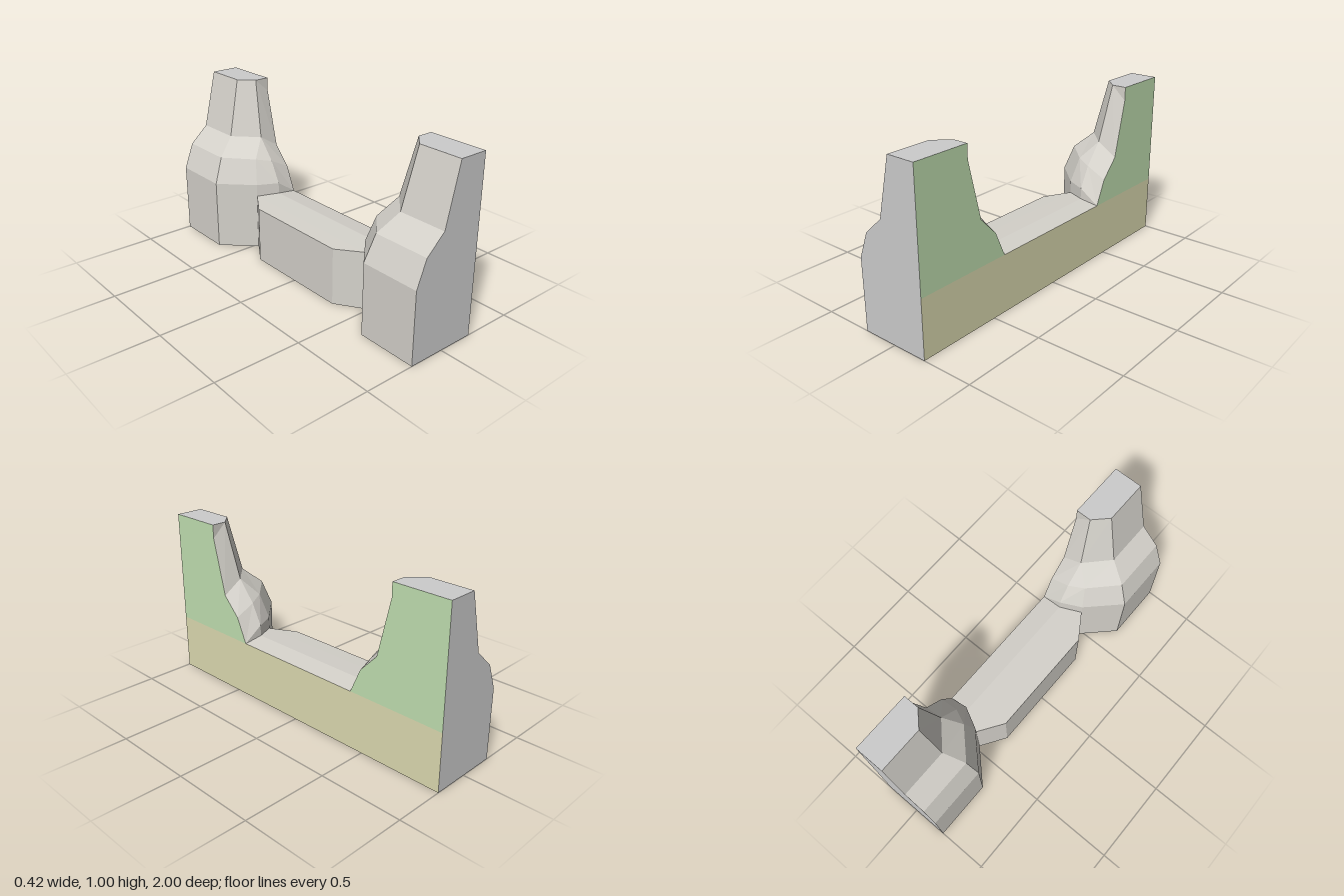
import * as THREE from 'three';

const GREY = 0xcccccc, ROCK = 0xd4d1ca, GREEN = 0xc0deb0, TAN = 0xdcdab0;
const W = 0.208; // half width
const FLOOR = 0.335; // pass height at the flat wall

// Flat-shaded mesh from triangles; side -1 mirrors it in z
function facets(name, tris, color, side = 1) {
  const data = [];
  for (const [a, b, c] of tris) {
    const corners = side < 0 ? [a, c, b] : [a, b, c];
    const v = corners.map(([x, y, z]) => new THREE.Vector3(x, y, z * side));
    if (new THREE.Triangle(...v).getArea() < 1e-7) continue;
    v.forEach((p) => data.push(p.x, p.y, p.z));
  }
  const geometry = new THREE.BufferGeometry();
  geometry.setAttribute('position', new THREE.Float32BufferAttribute(data, 3));
  geometry.computeVertexNormals();
  const mesh = new THREE.Mesh(geometry, new THREE.MeshStandardMaterial({ color, flatShading: true }));
  mesh.name = name;
  return mesh;
}

// Flat polygon as a fan from its first corner
const fan = (pts) => pts.slice(2).map((p, i) => [pts[0], pts[i + 1], p]);

// Skin between neighbouring cross-sections
function loft(rows) {
  const tris = [];
  for (let i = 0; i + 1 < rows.length; i++) {
    const r = rows[i], s = rows[i + 1];
    for (let j = 0; j + 1 < r.length; j++) {
      tris.push([r[j], r[j + 1], s[j]], [s[j], r[j + 1], s[j + 1]]);
    }
  }
  return tris;
}

// Cliff cross-sections, from the outer end round to the flat wall
const profile = [[-W, 0], [-W, 0.415], [-0.15, 0.565], [-0.04, 0.665], [0.04, 1], [0.04, 1]];
const cornerZ = [0.65, 0.65, 0.67, 0.72, 0.745, 0.745];
const cliffRows = [
  profile.map(([x, y]) => [x, y, 1]),
  profile.map(([x, y], i) => [x, y, cornerZ[i]]),
  [[-0.03, 0, 0.475], [-0.03, 0.415, 0.475], [0, 0.56, 0.52], [0.09, 0.665, 0.585], [0.12, 1, 0.665], [0.12, 1, 0.665]],
  [[0.09, 0, 0.415], [0.09, 0.415, 0.415], [0.09, 0.54, 0.48], [0.09, 0.665, 0.585], [0.12, 1, 0.665], [0.12, 1, 0.665]],
  [[W, 0, 0.415], [W, FLOOR, 0.415], [W, 0.48, 0.48], [W, 0.59, 0.585], [W, 0.92, 0.665], [W, 1, 0.665]],
];

function buildCliff(side) {
  const cliff = new THREE.Group();
  cliff.name = side > 0 ? 'frontCliff' : 'backCliff';
  const wallEdge = cliffRows[4].slice(1);
  const rim = [4, 3, 2, 1, 0].map((i) => cliffRows[i][5]);
  const foot = cliffRows.map((row) => row[0]);
  cliff.add(
    facets('rockFace', loft(cliffRows), ROCK, side),
    facets('endFace', fan([[W, 0, 1], [W, 1, 1], ...profile.slice(0, 5).reverse().map(([x, y]) => [x, y, 1])]), GREY, side),
    facets('plateau', fan([[W, 1, 1], ...rim.slice(0, 2), ...rim.slice(3)]), GREY, side),
    facets('upperWall', fan([[W, FLOOR, 1], ...wallEdge, [W, 1, 1]]), GREEN, side),
    facets('cliffUnderside', fan([[W, 0, 1], ...foot]), GREY, side),
  );
  return cliff;
}

function buildPass() {
  const pass = new THREE.Group();
  pass.name = 'pass';
  // Outer wall and slightly crowned floor
  const edge = [[-0.125, 0, 0.33], [-0.125, FLOOR, 0.33], [-0.03, 0.342, 0.475], [0.09, 0.35, 0.415], [W, FLOOR, 0.415]];
  const mirrored = edge.map(([x, y, z]) => [x, y, -z]);
  pass.add(facets('passFloor', loft([edge, mirrored]), ROCK));
  // Slanted returns that meet the cliffs
  const slant = fan([edge[0], [-0.03, 0, 0.475], edge[2], edge[1]]);
  for (const side of [1, -1]) pass.add(facets('passReturn', slant, ROCK, side));
  // Underside
  const half = [[W, 0, 0.415], [0.09, 0, 0.415], [-0.03, 0, 0.475], [-0.125, 0, 0.33]];
  const other = half.map(([x, y, z]) => [x, y, -z]).reverse();
  pass.add(facets('passUnderside', fan([...half, ...other]), GREY));
  return pass;
}

export function createModel() {
  const model = new THREE.Group();
  model.name = 'cliffPass';
  model.add(buildCliff(1), buildCliff(-1), buildPass());
  // Lower band of the flat wall
  model.add(facets('lowerWall', fan([[W, 0, 1], [W, 0, -1], [W, FLOOR, -1], [W, FLOOR, 1]]), TAN));
  return model;
}
